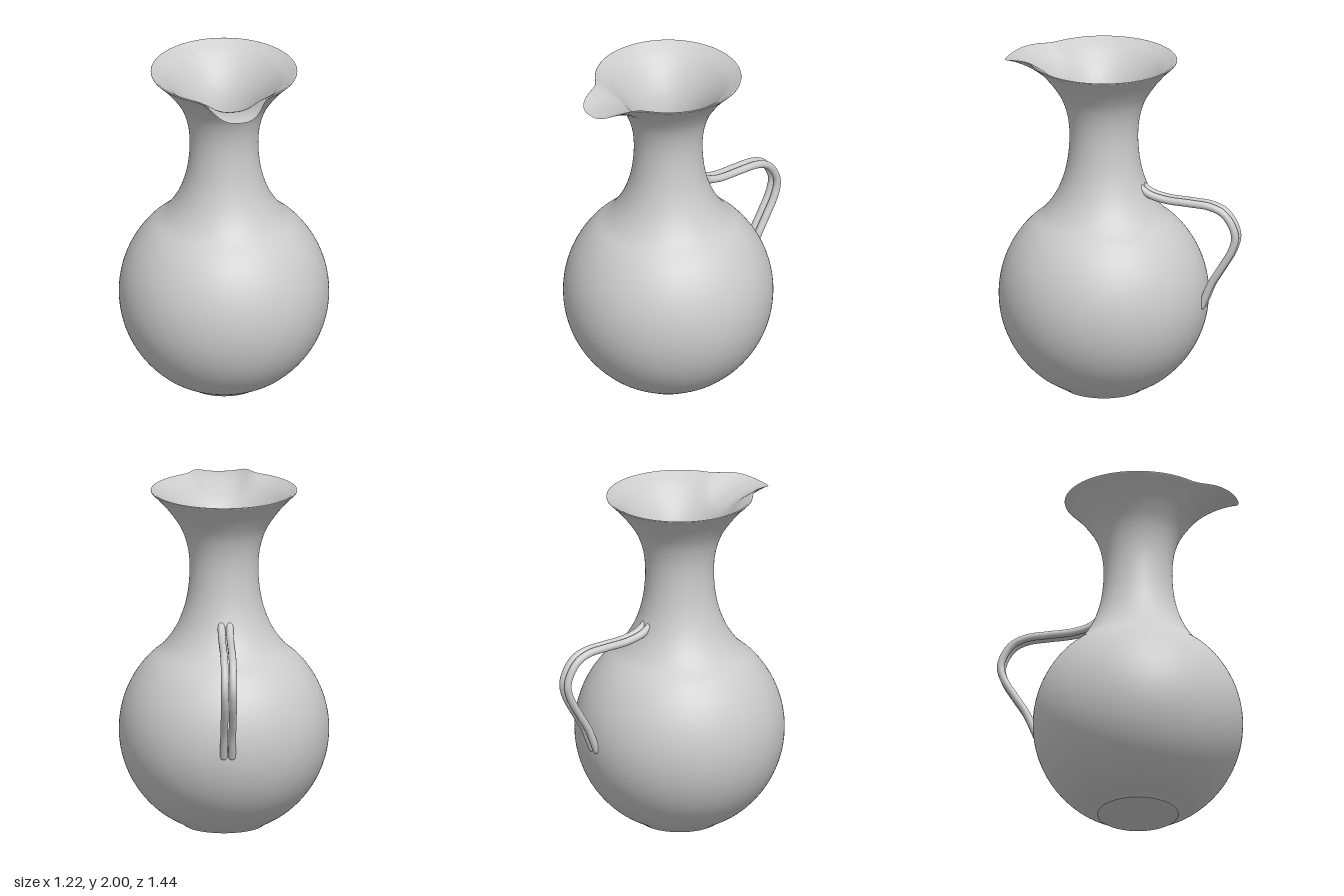
import * as THREE from 'three';
import { mergeVertices } from 'three/addons/utils/BufferGeometryUtils.js';

const AXIS_Z = 0.11; // the vessel's axis sits forward, balancing the handle
const material = new THREE.MeshStandardMaterial({ color: 0xcccccc });

function addMesh(parent, name, geometry) {
  const mesh = new THREE.Mesh(geometry, material);
  mesh.name = name;
  parent.add(mesh);
  return mesh;
}

// points of a round belly between two heights
function bellyArc(radius, centreY, fromY, toY, steps) {
  const a0 = Math.asin((fromY - centreY) / radius);
  const a1 = Math.asin((toY - centreY) / radius);
  return Array.from({ length: steps + 1 }, (_, i) => {
    const a = a0 + ((a1 - a0) * i) / steps;
    return [radius * Math.cos(a), centreY + radius * Math.sin(a)];
  });
}

const smooth = (points, samples) =>
  new THREE.SplineCurve(points.map(([r, y]) => new THREE.Vector2(r, y))).getPoints(samples);

// pull the front of the rim out into a lip that droops at its tip
function pullSpout(geometry) {
  const p = geometry.attributes.position;
  for (let i = 0; i < p.count; i++) {
    const x = p.getX(i), y = p.getY(i), z = p.getZ(i);
    const phi = Math.abs(Math.atan2(x, z));
    const height = Math.min(1, Math.max(0, (y - 1.85) / 0.15)) ** 1.5;
    const pull = height * Math.exp(-((phi / 0.34) ** 3));
    const r = Math.hypot(x, z);
    const k = (r + 0.168 * pull) / r;
    p.setXYZ(i, x * k, y - 0.045 * pull ** 3, z * k);
  }
}

function createBody() {
  const outer = smooth([
    [0.235, 0], [0.25, 0.012],
    ...bellyArc(0.61, 0.57, 0.07, 1.0, 12),
    [0.345, 1.08], [0.27, 1.195], [0.22, 1.34], [0.2, 1.5], [0.207, 1.64],
    [0.242, 1.76], [0.3, 1.855], [0.365, 1.935], [0.41, 1.98], [0.424, 1.994],
  ], 110);
  const rim = smooth([[0.425, 1.998], [0.421, 2], [0.414, 1.999]], 4);
  const inner = smooth([
    [0.405, 1.992], [0.38, 1.975], [0.335, 1.94], [0.265, 1.86], [0.205, 1.76],
    [0.17, 1.64], [0.163, 1.5], [0.183, 1.34], [0.232, 1.195], [0.31, 1.065],
    ...bellyArc(0.57, 0.57, 0.98, 0.08, 12),
    [0.24, 0.04],
  ], 100);
  let geometry = new THREE.LatheGeometry([...outer, ...rim, ...inner], 128);
  pullSpout(geometry);

  // weld the lathe seam so the lip shades smoothly
  geometry.deleteAttribute('uv');
  geometry.deleteAttribute('normal');
  geometry = mergeVertices(geometry, 1e-5);
  geometry.computeVertexNormals();
  return geometry;
}

function createHandle() {
  const handle = new THREE.Group();
  handle.name = 'handle';
  // side outline as [z, y], from the neck to the belly
  const path = [
    [-0.115, 1.25], [-0.17, 1.212], [-0.27, 1.187], [-0.42, 1.18], [-0.54, 1.172],
    [-0.62, 1.14], [-0.673, 1.075], [-0.696, 1.0], [-0.675, 0.915], [-0.61, 0.8],
    [-0.55, 0.7], [-0.512, 0.61], [-0.492, 0.56],
  ];
  for (const side of [1, -1]) {
    const name = side > 0 ? 'left' : 'right';
    const curve = new THREE.CatmullRomCurve3(
      path.map(([z, y]) => new THREE.Vector3(side * 0.024, y, z)));
    addMesh(handle, name + 'HandleStrand', new THREE.TubeGeometry(curve, 90, 0.022, 16));
    // rounded ends where the strand meets the wall
    for (const t of [0, 1]) {
      addMesh(handle, name + 'HandleEnd', new THREE.SphereGeometry(0.022, 16, 12))
        .position.copy(curve.getPoint(t));
    }
  }
  return handle;
}

export function createModel() {
  const pitcher = new THREE.Group();
  pitcher.name = 'pitcher';

  const vessel = new THREE.Group();
  vessel.name = 'vessel';
  vessel.position.z = AXIS_Z;
  addMesh(vessel, 'body', createBody());
  addMesh(vessel, 'base', new THREE.CircleGeometry(0.235, 128)).rotation.x = Math.PI / 2;
  const floor = addMesh(vessel, 'innerFloor', new THREE.CircleGeometry(0.24, 128));
  floor.rotation.x = -Math.PI / 2;
  floor.position.y = 0.04;

  pitcher.add(vessel, createHandle());
  return pitcher;
}
